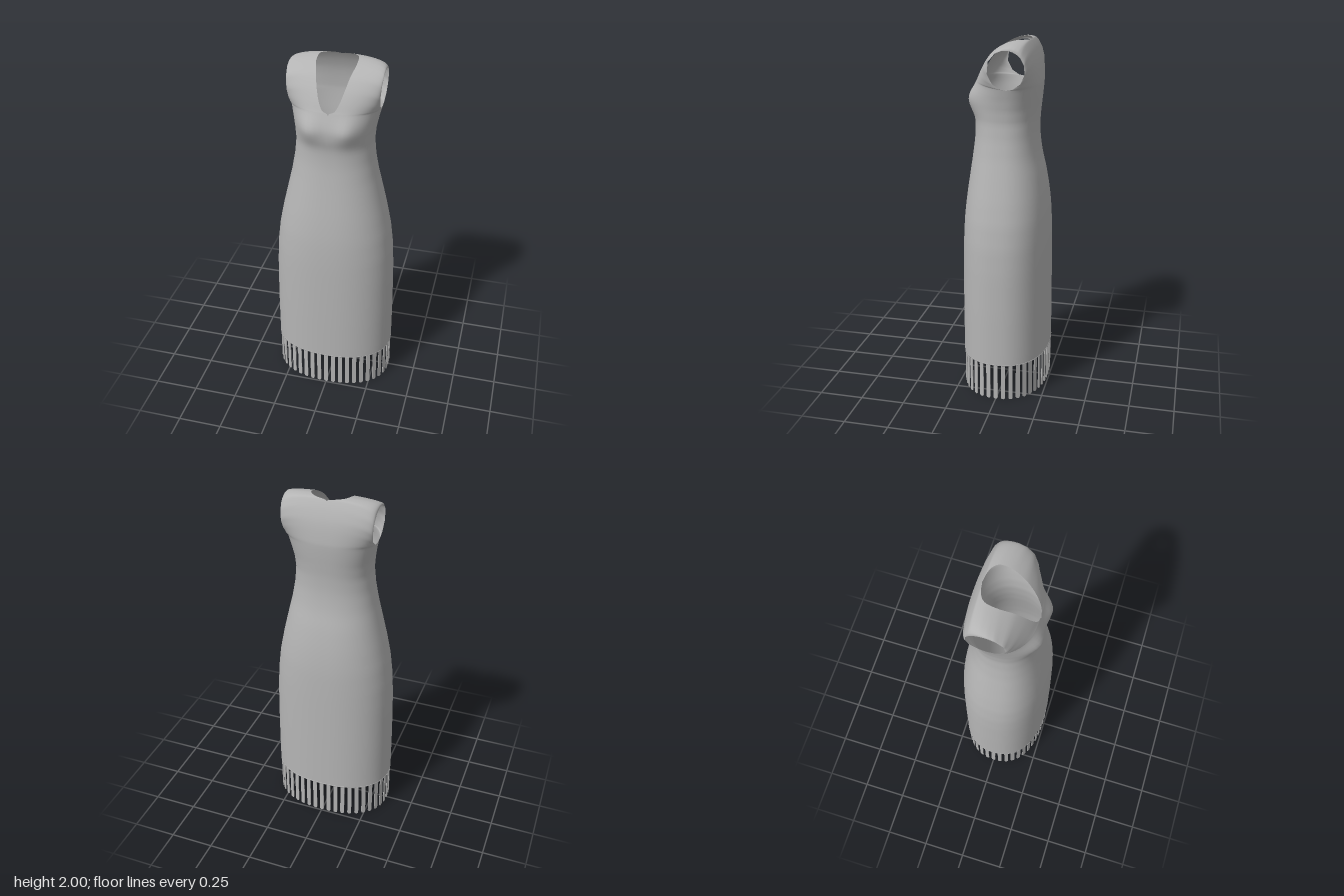
import * as THREE from 'three';
import { mergeVertices, mergeGeometries } from 'three/addons/utils/BufferGeometryUtils.js';

const P = 2 / 2.3; // superellipse power of the cross-sections
const SUB = 4; // steps between two rows
const COLS = 14; // columns from centre line to side seam

// Skirt and bodice below the armholes: y, half width, side seam z, front z, back z
const BODY = [
  [0.22, 0.344, 0, 0.247, -0.246],
  [0.5, 0.343, 0, 0.247, -0.245],
  [0.75, 0.338, 0, 0.245, -0.243],
  [0.9, 0.33, 0, 0.242, -0.241],
  [1.03, 0.314, 0, 0.235, -0.237],
  [1.15, 0.29, 0, 0.222, -0.226],
  [1.27, 0.262, 0, 0.205, -0.207],
  [1.38, 0.236, 0, 0.189, -0.183],
  [1.48, 0.218, 0, 0.177, -0.171],
  [1.57, 0.209, -0.003, 0.176, -0.171],
  [1.64, 0.214, -0.012, 0.188, -0.177],
  [1.7, 0.225, -0.028, 0.187, -0.183],
];

// Over the shoulder, front to back: centre y, centre z, neck half width, angle on armhole
const SHOULDER = [
  [1.772, 0.165, 0, -90],
  [1.792, 0.157, 0.032, -72],
  [1.835, 0.138, 0.055, -45],
  [1.89, 0.105, 0.073, -12],
  [1.945, 0.058, 0.089, 25],
  [1.981, 0, 0.104, 58],
  [1.996, -0.04, 0.107, 80],
  [2.003, -0.075, 0.103, 98],
  [2.002, -0.1, 0.086, 113],
  [1.998, -0.118, 0.05, 127],
  [1.988, -0.128, 0, 140],
  [1.95, -0.149, 0, 162],
  [1.9, -0.168, 0, 190],
  [1.85, -0.179, 0, 220],
  [1.79, -0.186, 0, 250],
  [1.757, -0.187, 0, 270],
];

// Each row holds a centre point (neck, y, z) and a side point (half width, y, z)
function dressRows() {
  const v = (x, y, z) => new THREE.Vector3(x, y, z);
  const front = BODY.map(([y, hw, zs, zf]) => ({ c: v(0, y, zf), s: v(hw, y, zs) }));
  const back = BODY.map(([y, hw, zs, , zb]) => ({ c: v(0, y, zb), s: v(hw, y, zs) })).reverse();
  const over = SHOULDER.map(([y, z, neck, deg]) => {
    const a = THREE.MathUtils.degToRad(deg);
    return {
      c: v(neck, y, z),
      s: v(0.247 + 0.007 * Math.sin(a), 1.862 + 0.103 * Math.sin(a), -0.038 + 0.101 * Math.cos(a)),
    };
  });
  const keys = [...front, ...over, ...back];
  const centre = new THREE.CatmullRomCurve3(keys.map((k) => k.c), false, 'catmullrom', 0.5);
  const rows = [];
  const total = (keys.length - 1) * SUB;
  for (let i = 0; i <= total; i++) {
    const k = Math.min(Math.floor(i / SUB), keys.length - 2);
    const c = centre.getPoint(i / total);
    c.x = c.x < 0.001 ? 0 : c.x;
    rows.push({ c, s: keys[k].s.clone().lerp(keys[k + 1].s, i / SUB - k) });
  }
  return rows;
}

// One half of the dress, a sheet running from front hem over the shoulder to back hem
function halfDress(rows, side) {
  const pos = [];
  const index = [];
  rows.forEach(({ c, s }, i) => {
    const a0 = Math.asin(Math.pow(c.x / s.x, 1 / P));
    for (let j = 0; j <= COLS; j++) {
      const a = a0 + (Math.PI / 2 - a0) * (j / COLS);
      const x = s.x * Math.pow(Math.sin(a), P);
      const w = j === COLS ? 0 : Math.pow(Math.cos(a), P);
      const y = s.y + (c.y - s.y) * w;
      let z = s.z + (c.z - s.z) * w;
      // bust
      if (z > 0) z += 0.026 * Math.min(1, w * 1.5) * Math.exp(-(((x - 0.105) / 0.06) ** 2) - ((y - 1.69) / 0.07) ** 2);
      pos.push(side * x, y, z);
      if (i && j) {
        const d = i * (COLS + 1) + j;
        const b = d - COLS - 1;
        if (side > 0) index.push(b - 1, b, d, b - 1, d, d - 1);
        else index.push(b - 1, d, b, b - 1, d - 1, d);
      }
    }
  });
  const g = new THREE.BufferGeometry();
  g.setAttribute('position', new THREE.Float32BufferAttribute(pos, 3));
  g.setIndex(index);
  return g;
}

export function createModel() {
  const fabric = new THREE.MeshStandardMaterial({ color: 0xb4b4b4, side: THREE.DoubleSide });
  fabric.name = 'grey fabric';
  const model = new THREE.Group();
  model.name = 'dress';

  // Dress body, welded along the centre line and side seams
  const rows = dressRows();
  const body = mergeVertices(mergeGeometries([halfDress(rows, 1), halfDress(rows, -1)]), 1e-4);
  body.computeVertexNormals();
  const dress = new THREE.Mesh(body, fabric);
  dress.name = 'dressBody';
  model.add(dress);

  // Hem outline, shared by the hem band and the fringe
  const [, hw, , zf] = BODY[0];
  const pw = (n) => Math.sign(n) * Math.pow(Math.abs(n), P);
  const outline = [];
  for (let i = 0; i < 48; i++) {
    const a = (i / 48) * Math.PI * 2;
    outline.push(new THREE.Vector3((hw - 0.003) * pw(Math.sin(a)), 0, (zf - 0.003) * pw(Math.cos(a))));
  }
  const hem = new THREE.CatmullRomCurve3(outline, true);
  const band = new THREE.Mesh(new THREE.TubeGeometry(hem, 96, 0.004, 6, true), fabric);
  band.name = 'hemEdge';
  band.position.y = 0.222;
  model.add(band);

  // Fringe of flat strips with rounded tips
  const r = 0.012;
  const strip = new THREE.Shape();
  strip.moveTo(r, 0.23);
  strip.lineTo(-r, 0.23);
  strip.lineTo(-r, 0.005 + r);
  strip.absarc(0, 0.005 + r, r, Math.PI, Math.PI * 2, false);
  strip.lineTo(r, 0.23);
  const stripGeo = new THREE.ExtrudeGeometry(strip, { depth: 0.004, bevelEnabled: false, curveSegments: 6 });
  stripGeo.translate(0, 0, -0.004);
  const fringe = new THREE.Group();
  fringe.name = 'fringe';
  const COUNT = 44;
  for (let i = 0; i < COUNT; i++) {
    const t = hem.getTangentAt(i / COUNT);
    const m = new THREE.Mesh(stripGeo, fabric);
    m.name = 'fringeStrip';
    m.position.copy(hem.getPointAt(i / COUNT));
    m.rotation.y = Math.atan2(-t.z, t.x);
    fringe.add(m);
  }
  model.add(fringe);
  return model;
}
